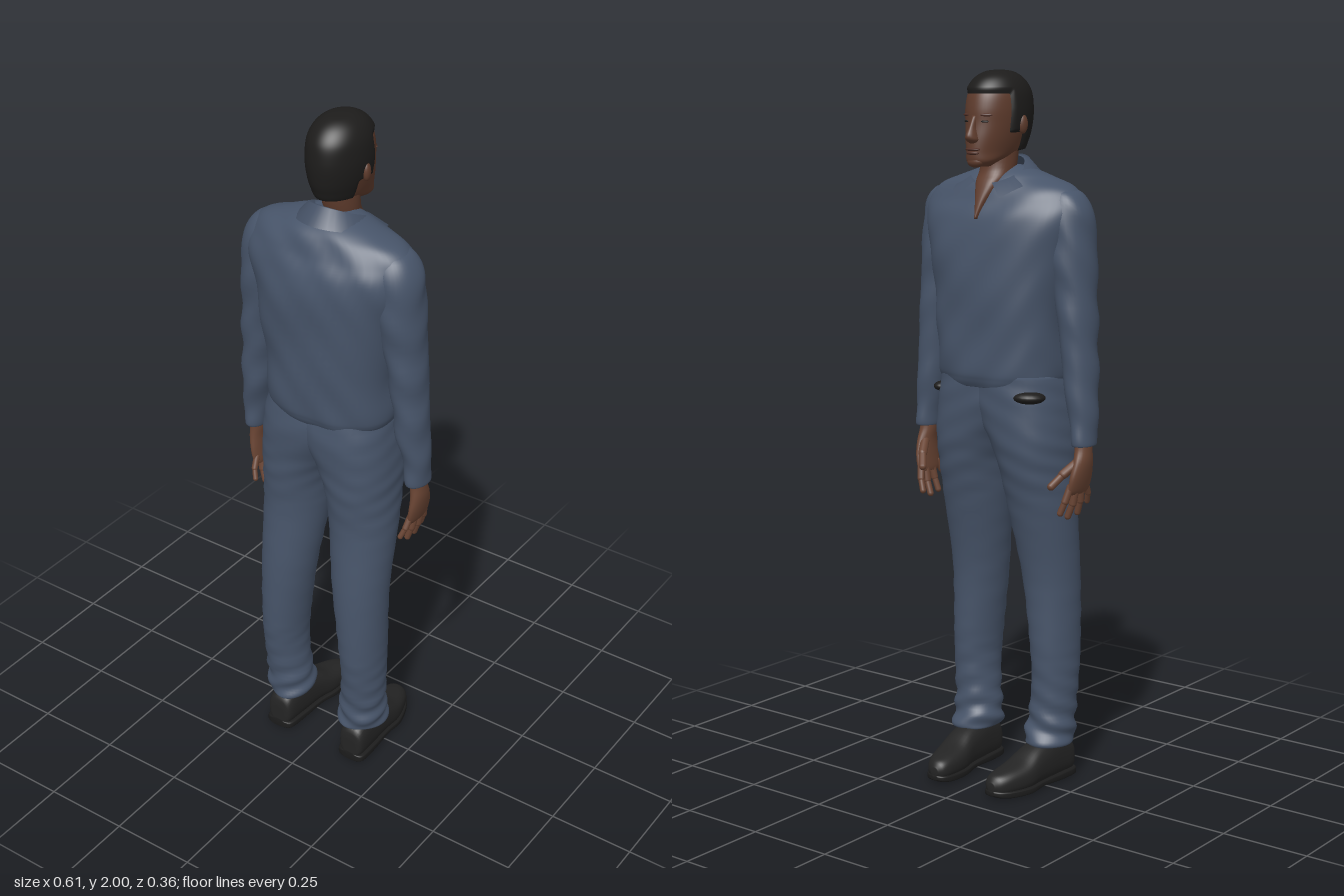
import * as THREE from 'three';

const mat = (name, color, side = THREE.FrontSide) => {
  const m = new THREE.MeshStandardMaterial({ color, side });
  m.name = name;
  return m;
};

// Smooth skin over superellipse sections [t, a, b, ra, rb, exponent].
// axis 'y': t is rising height, a/b are x/z. axis 'z': t is falling depth, a/b are x/y.
function loft(sections, { axis = 'y', steps = 5, seg = 36, rule } = {}) {
  const S = sections.map(s => [...s.slice(0, 5), s[5] ?? 2]);
  const at = i => S[Math.max(0, Math.min(S.length - 1, i))];
  const rings = [];
  for (let i = 0; i < S.length - 1; i++) {
    for (let k = 0; k < steps; k++) {
      const u = k / steps;
      rings.push(S[i].map((_, c) => {
        const [p0, p1, p2, p3] = [at(i - 1)[c], at(i)[c], at(i + 1)[c], at(i + 2)[c]];
        return p1 + 0.5 * u * (p2 - p0 + u * (2 * p0 - 5 * p1 + 4 * p2 - p3 + u * (3 * (p1 - p2) + p3 - p0)));
      }));
    }
  }
  rings.push(S[S.length - 1]);
  const pos = [], idx = [];
  const put = (t, a, b) => {
    const p = axis === 'y' ? new THREE.Vector3(a, t, b) : new THREE.Vector3(a, b, t);
    if (rule) rule(p);
    pos.push(p.x, p.y, p.z);
  };
  const pow = (v, n) => Math.sign(v) * Math.abs(v) ** (2 / n);
  for (const [t, a, b, ra, rb, n] of rings) {
    for (let j = 0; j < seg; j++) {
      const w = j / seg * Math.PI * 2;
      put(t, a + ra * pow(Math.cos(w), n), b + rb * pow(Math.sin(w), n));
    }
  }
  const first = rings[0], last = rings[rings.length - 1], c = rings.length * seg;
  put(first[0], first[1], first[2]);
  put(last[0], last[1], last[2]);
  for (let j = 0; j < seg; j++) {
    const k = (j + 1) % seg;
    for (let i = 0; i < rings.length - 1; i++) {
      const o = i * seg, q = o + seg;
      idx.push(o + j, q + j, o + k, q + j, q + k, o + k);
    }
    idx.push(c, j, k, c + 1, c - seg + k, c - seg + j);
  }
  const g = new THREE.BufferGeometry();
  g.setAttribute('position', new THREE.Float32BufferAttribute(pos, 3));
  g.setIndex(idx);
  g.computeVertexNormals();
  return g;
}

// Soft cloth folds
const folds = (amount, freq) => p => {
  const d = amount * Math.sin(p.y * freq + p.x * 17 + 2 * Math.sin(p.z * 22));
  p.x += d * Math.sign(p.x) * 0.5;
  p.z += d * Math.sin(p.x * 31 + p.y * 9);
};

export function createModel() {
  const root = new THREE.Group();
  const cloth = mat('blue grey cloth', 0x475469);
  const collarCloth = mat('collar cloth', 0x445064, THREE.DoubleSide);
  const skin = mat('skin', 0x5e3b2c);
  const handSkin = mat('hand skin', 0x694433);
  const lipTone = mat('lips and brows', 0x4f2f26);
  const black = mat('hair black', 0x1d1c1b);
  const leather = mat('shoe leather', 0x242424);
  const sole = mat('shoe sole', 0x1c1c1c);
  const add = (name, g, m, parent = root) => {
    const mesh = new THREE.Mesh(g, m);
    mesh.name = name;
    parent.add(mesh);
    return mesh;
  };
  const blob = (name, m, p, s) => {
    const b = add(name, new THREE.SphereGeometry(1, 20, 14), m);
    b.position.set(...p);
    b.scale.set(...s);
    return b;
  };

  // Shirt, and the belt showing at the hips
  add('shirt', loft([
    [1.145, 0, 0.021, 0.176, 0.13, 2.4], [1.165, 0, 0.022, 0.188, 0.139, 2.4], [1.2, 0, 0.022, 0.193, 0.145, 2.4],
    [1.32, 0, 0.022, 0.194, 0.147, 2.5], [1.5, 0, 0.027, 0.224, 0.151, 2.4], [1.6, 0, 0.03, 0.252, 0.139, 2.2],
    [1.655, 0, 0.033, 0.25, 0.116, 2.1], [1.69, 0, 0.034, 0.218, 0.1, 2], [1.715, 0, 0.034, 0.15, 0.083],
    [1.735, 0, 0.03, 0.088, 0.062], [1.745, 0, 0.025, 0.055, 0.045]], { steps: 7, seg: 64, rule: folds(0.004, 34) }), cloth);
  blob('beltPatchRight', black, [-0.15, 1.125, -0.068], [0.046, 0.018, 0.036]).rotation.y = 0.5;
  blob('beltPatchLeft', black, [0.165, 1.125, -0.05], [0.024, 0.014, 0.028]);

  // Neck with the open shirt front
  add('neck', loft([
    [1.605, 0, -0.085, 0.004, 0.03, 3], [1.65, 0, -0.065, 0.018, 0.036, 3], [1.7, 0, -0.034, 0.04, 0.046, 2.6],
    [1.74, 0, -0.008, 0.05, 0.05], [1.82, 0, 0, 0.052, 0.055]]), skin);

  // Folded collar: a strip running round the neck, its front ends dropping to points
  const cp = [], ci = [], N = 32;
  for (let i = 0; i <= N; i++) {
    const u = i / N * 2 - 1, w = u * 2.72, f = (1 - Math.cos(w)) / 2, tip = Math.abs(u) ** 6;
    const s = Math.sin(w), c = Math.cos(w);
    cp.push(0.062 * s, 1.768 - 0.075 * f, 0.005 + 0.068 * c - 0.008 * f);
    cp.push(0.078 * s, 1.773 - 0.075 * f, 0.006 + 0.08 * c - 0.012 * f);
    cp.push((0.115 + 0.065 * tip) * s, 1.728 - 0.042 * f - 0.025 * tip, 0.014 + 0.108 * c - 0.018 * f);
    if (i < N) {
      for (const o of [i * 3, i * 3 + 1]) ci.push(o, o + 1, o + 3, o + 1, o + 4, o + 3);
    }
  }
  const cg = new THREE.BufferGeometry();
  cg.setAttribute('position', new THREE.Float32BufferAttribute(cp, 3));
  cg.setIndex(ci);
  cg.computeVertexNormals();
  add('collar', cg, collarCloth);

  // Head, and hair as a shell that sinks below the skin outside the hairline
  const skull = [
    [1.745, 0, -0.085, 0.022, 0.03], [1.76, 0, -0.075, 0.042, 0.05], [1.785, 0, -0.03, 0.055, 0.097],
    [1.82, 0, -0.017, 0.066, 0.107], [1.86, 0, -0.01, 0.074, 0.108], [1.9, 0, -0.008, 0.077, 0.107],
    [1.94, 0, -0.006, 0.073, 0.098], [1.97, 0, -0.006, 0.058, 0.076], [1.988, 0, -0.005, 0.034, 0.044],
    [1.993, 0, -0.005, 0.006, 0.008]];
  add('head', loft(skull, { steps: 6, seg: 56 }), skin);
  const mid = new THREE.Vector3(0, 1.87, -0.01);
  add('hair', loft(skull, { steps: 10, seg: 96, rule: p => {
    const line = Math.max(p.y - 1.938, Math.min(p.z + 0.045, p.y - 1.835), Math.min(p.z - 0.012, p.y - 1.785));
    const d = THREE.MathUtils.clamp(line * 0.9, -0.008, 0.008);
    p.addScaledVector(p.clone().sub(mid).normalize(), d);
  } }), black);

  // Face details
  add('nose', loft([
    [1.806, 0, -0.115, 0.01, 0.01], [1.816, 0, -0.12, 0.018, 0.022], [1.829, 0, -0.121, 0.015, 0.025],
    [1.85, 0, -0.117, 0.009, 0.017], [1.88, 0, -0.111, 0.007, 0.008]], { seg: 20 }), skin);
  blob('upperLip', lipTone, [0, 1.791, -0.121], [0.024, 0.005, 0.011]);
  blob('lowerLip', lipTone, [0, 1.781, -0.119], [0.021, 0.006, 0.012]);
  blob('chin', skin, [0, 1.758, -0.108], [0.026, 0.016, 0.018]);
  for (const s of [1, -1]) {
    blob('eye', black, [0.031 * s, 1.865, -0.108], [0.011, 0.003, 0.004]).rotation.y = -0.4 * s;
    blob('eyebrow', lipTone, [0.032 * s, 1.882, -0.105], [0.018, 0.004, 0.005]).rotation.y = -0.4 * s;
    blob('ear', skin, [0.08 * s, 1.857, -0.004], [0.011, 0.026, 0.015]).rotation.y = 0.3 * s;
  }

  // Limbs, made once for +x and mirrored
  const sleeve = loft([
    [0.995, 0.272, 0.02, 0.027, 0.036], [1.0, 0.273, 0.02, 0.031, 0.042], [1.04, 0.272, 0.02, 0.033, 0.044],
    [1.1, 0.264, 0.024, 0.04, 0.05], [1.2, 0.253, 0.028, 0.046, 0.056], [1.32, 0.243, 0.03, 0.05, 0.062],
    [1.45, 0.226, 0.034, 0.06, 0.07], [1.56, 0.213, 0.036, 0.067, 0.077], [1.63, 0.203, 0.035, 0.067, 0.07],
    [1.675, 0.188, 0.034, 0.054, 0.054], [1.69, 0.175, 0.034, 0.025, 0.03]], { rule: folds(0.004, 48) });
  // Each leg widens past the middle above the crotch, so the pair forms the seat
  const trouserLeg = loft([
    [0.112, 0.13, 0.055, 0.056, 0.066], [0.118, 0.13, 0.055, 0.067, 0.08], [0.15, 0.13, 0.06, 0.07, 0.074],
    [0.2, 0.133, 0.065, 0.066, 0.069], [0.3, 0.139, 0.07, 0.063, 0.075], [0.4, 0.137, 0.072, 0.066, 0.083],
    [0.6, 0.125, 0.068, 0.08, 0.087], [0.8, 0.114, 0.04, 0.097, 0.1], [0.9, 0.108, 0.03, 0.101, 0.115, 2.1],
    [0.95, 0.102, 0.027, 0.106, 0.122, 2.2], [1.0, 0.092, 0.024, 0.115, 0.127, 2.3], [1.1, 0.06, 0.025, 0.137, 0.134, 2.4],
    [1.18, 0.048, 0.02, 0.135, 0.128, 2.4]], { steps: 6, seg: 44, rule: p => {
    const a = 0.001 + 0.005 * Math.max(0, 1 - p.y / 0.35);
    p.x += a * Math.sin(p.y * 110 + p.z * 30);
    p.z += a * Math.sin(p.y * 90 + p.x * 40);
  } });
  const shoe = loft([
    [0.134, 0.132, 0.045, 0.022, 0.03, 2.5], [0.122, 0.131, 0.058, 0.04, 0.052, 2.6], [0.06, 0.128, 0.07, 0.045, 0.066, 2.6],
    [-0.02, 0.124, 0.062, 0.048, 0.056, 2.5], [-0.08, 0.118, 0.046, 0.052, 0.042, 2.5], [-0.14, 0.109, 0.04, 0.043, 0.034, 2.4],
    [-0.17, 0.104, 0.037, 0.03, 0.027, 2.2], [-0.183, 0.102, 0.035, 0.012, 0.012]], { axis: 'z' });
  const shoeSole = loft([
    [0.138, 0.132, 0.013, 0.024, 0.012, 4], [0.124, 0.131, 0.012, 0.044, 0.012, 5], [0.06, 0.128, 0.012, 0.048, 0.012, 5],
    [-0.02, 0.123, 0.014, 0.049, 0.009, 5], [-0.08, 0.118, 0.011, 0.055, 0.011, 5], [-0.14, 0.109, 0.012, 0.046, 0.011, 5],
    [-0.172, 0.104, 0.015, 0.031, 0.01, 4], [-0.185, 0.102, 0.018, 0.012, 0.007, 3]], { axis: 'z' });
  const palm = loft([
    [0.862, 0.262, 0.006, 0.009, 0.038], [0.875, 0.265, 0.006, 0.013, 0.047], [0.91, 0.271, 0.008, 0.017, 0.047],
    [0.95, 0.275, 0.012, 0.02, 0.038], [0.985, 0.273, 0.017, 0.022, 0.029], [1.02, 0.272, 0.02, 0.022, 0.028]], { seg: 24 });
  const fingers = [
    ['littleFinger', [0.264, 0.885, 0.042], [0.26, 0.855, 0.058], [0.25, 0.828, 0.068], 0.009],
    ['ringFinger', [0.265, 0.88, 0.018], [0.258, 0.838, 0.024], [0.247, 0.803, 0.027], 0.0105],
    ['middleFinger', [0.265, 0.88, -0.008], [0.257, 0.835, -0.01], [0.243, 0.798, -0.013], 0.011],
    ['indexFinger', [0.263, 0.885, -0.03], [0.254, 0.845, -0.042], [0.242, 0.812, -0.048], 0.0105],
    ['thumb', [0.268, 0.95, -0.006], [0.247, 0.92, -0.042], [0.226, 0.888, -0.068], 0.013]];
  for (const s of [1, -1]) {
    const side = s > 0 ? 'left' : 'right';
    const arm = new THREE.Group(), leg = new THREE.Group();
    arm.name = side + 'Arm';
    leg.name = side + 'Leg';
    arm.scale.x = leg.scale.x = s;
    leg.position.x = -0.005;
    root.add(arm, leg);
    add('sleeve', sleeve, cloth, arm);
    add('palm', palm, handSkin, arm);
    for (const [name, ...f] of fingers) {
      const r = f[3], pts = f.slice(0, 3).map(p => new THREE.Vector3(...p));
      for (let i = 0; i < 2; i++) {
        const d = pts[i + 1].clone().sub(pts[i]);
        const bone = add(name, new THREE.CapsuleGeometry(r * (1 - 0.15 * i), d.length(), 5, 12), handSkin, arm);
        bone.position.copy(pts[i]).addScaledVector(d, 0.5);
        bone.quaternion.setFromUnitVectors(new THREE.Vector3(0, 1, 0), d.normalize());
      }
    }
    add('trouserLeg', trouserLeg, cloth, leg);
    add('shoe', shoe, leather, leg);
    add('shoeSole', shoeSole, sole, leg);
  }
  return root;
}
